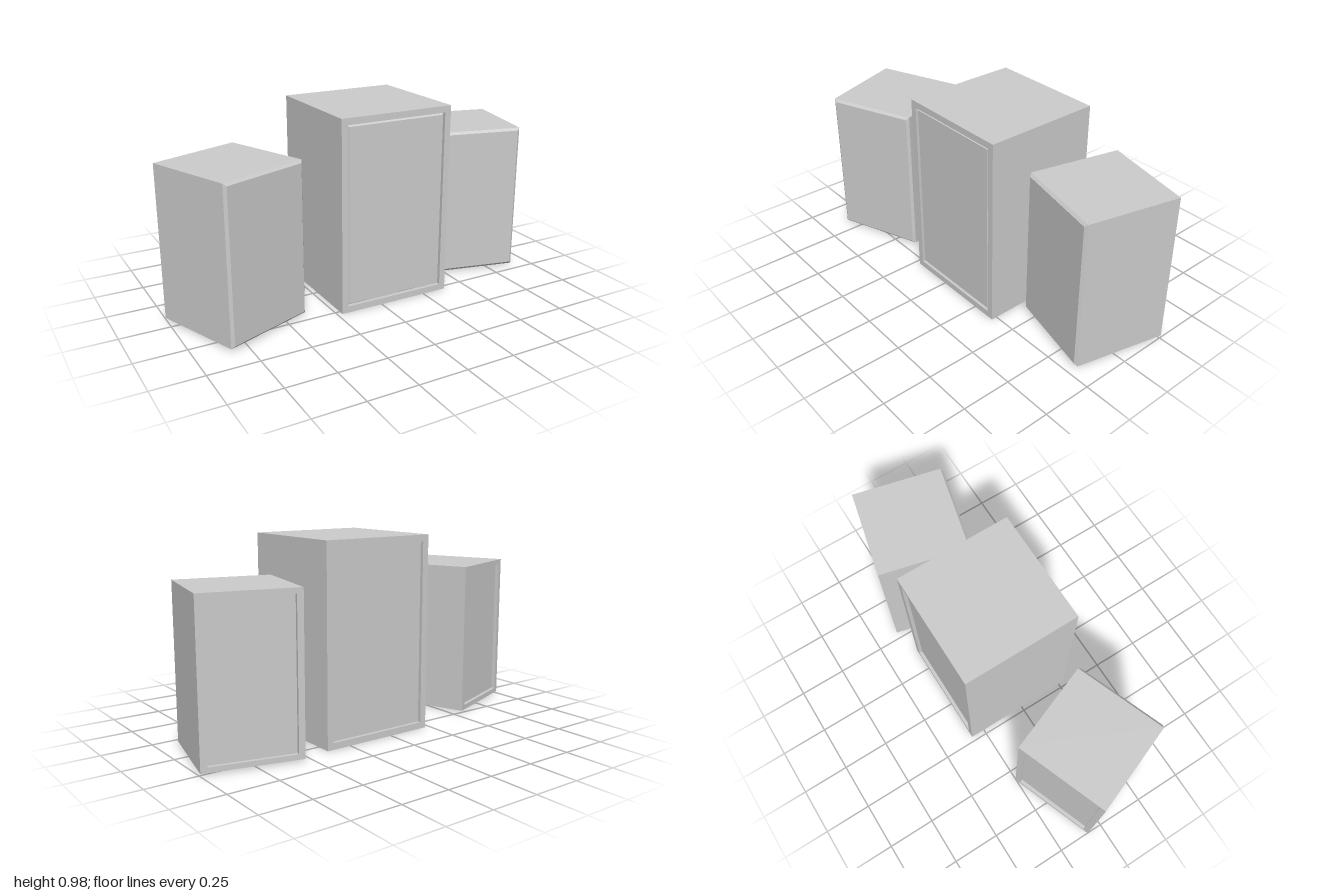
import * as THREE from 'three';

const material = new THREE.MeshStandardMaterial({ color: 0xcccccc, flatShading: true });

function add(parent, name, geometry, x = 0, y = 0, z = 0) {
  const mesh = new THREE.Mesh(geometry, material);
  mesh.name = name;
  mesh.position.set(x, y, z);
  parent.add(mesh);
  return mesh;
}

// Rectangular rim with a rectangular opening, extruded along z from 0
function rimGeometry(w, h, depth, side, end) {
  const rect = (T, a, b) => {
    const p = new T();
    p.moveTo(-a, -b);
    p.lineTo(a, -b);
    p.lineTo(a, b);
    p.lineTo(-a, b);
    p.closePath();
    return p;
  };
  const shape = rect(THREE.Shape, w / 2, h / 2);
  shape.holes.push(rect(THREE.Path, w / 2 - side, h / 2 - end));
  return new THREE.ExtrudeGeometry(shape, { depth, bevelEnabled: false });
}

// Box whose front face is drawn in to make chamfered edges
function chamferedPanel(w, h, depth, inset) {
  const geometry = new THREE.BoxGeometry(w, h, depth);
  const p = geometry.attributes.position;
  for (let i = 0; i < p.count; i++) {
    if (p.getZ(i) > 0) {
      p.setX(i, p.getX(i) - Math.sign(p.getX(i)) * inset);
      p.setY(i, p.getY(i) - Math.sign(p.getY(i)) * inset);
    }
  }
  geometry.computeVertexNormals();
  return geometry;
}

const RECESS = 0.018;

// Side cabinet: recessed back, chamfered cover over the whole front
function sideCabinet(name, x, z, angle, w, d) {
  const h = 0.78, cover = 0.012;
  const group = new THREE.Group();
  group.name = name;
  group.position.set(x, 0.01 + h / 2, z);
  group.rotation.y = angle;
  const core = d - RECESS - cover;
  add(group, 'cabinetBody', new THREE.BoxGeometry(w, h, core), 0, 0, (RECESS - cover) / 2);
  add(group, 'backRim', rimGeometry(w, h, RECESS, 0.031, 0.026), 0, 0, -d / 2);
  add(group, 'frontCover', chamferedPanel(w, h, cover, 0.013), 0, 0, d / 2 - cover / 2);
  return group;
}

// Centre cabinet: rims front and back, chamfered panel set into the front
function centreCabinet() {
  const w = 0.605, h = 0.98, d = 0.605;
  const group = new THREE.Group();
  group.name = 'centreCabinet';
  group.position.set(0.078, h / 2, -0.023);
  add(group, 'cabinetBody', new THREE.BoxGeometry(w, h, d - 2 * RECESS));
  add(group, 'backRim', rimGeometry(w, h, RECESS, 0.033, 0.033), 0, 0, -d / 2);
  add(group, 'frontRim', rimGeometry(w, h, RECESS, 0.033, 0.033), 0, 0, d / 2 - RECESS);
  add(group, 'frontPanel', chamferedPanel(w - 0.074, h - 0.074, 0.012, 0.007), 0, 0, d / 2 - RECESS + 0.006);
  return group;
}

export function createModel() {
  const model = new THREE.Group();
  model.name = 'cabinetSet';
  model.add(
    centreCabinet(),
    sideCabinet('rightCabinet', -0.692, 0.058, 0.364, 0.478, 0.485),
    sideCabinet('leftCabinet', 0.71, -0.08, -0.234, 0.478, 0.483)
  );
  return model;
}
